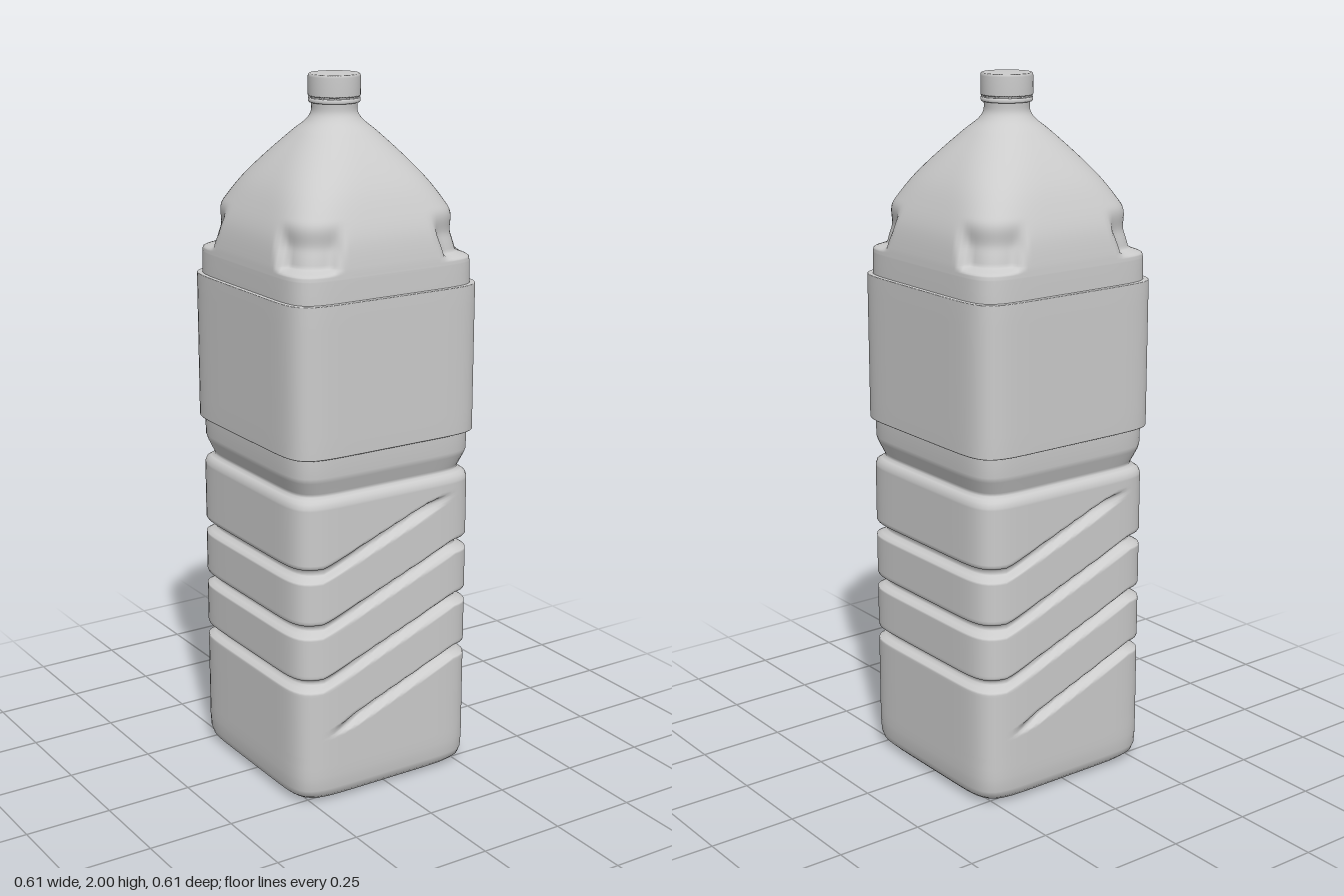
import * as THREE from 'three';

const SEGS = 144;
const grey = new THREE.MeshStandardMaterial({ color: 0xcccccc });
const cyan = new THREE.MeshStandardMaterial({ color: 0x00d0dc });
const { smoothstep, clamp } = THREE.MathUtils;

// Point on a rounded square: half width a, squareness n (2 = circle)
function squarePoint(theta, a, n) {
  const s = Math.sin(theta), c = Math.cos(theta);
  const r = a / Math.pow(Math.abs(s) ** n + Math.abs(c) ** n, 1 / n);
  return [r * s, r * c];
}

// Spiral grooves: sloped on front and back, level on the sides
function grooveDepth(x, z, y) {
  const u = z > 0 ? x : -x;
  const ramp = 0.163 * (clamp(u, -0.22, 0.22) + 0.22) / 0.44;
  let depth = 0;
  for (let k = 0; k < 4; k++) {
    let fade = 1;
    if (k === 0) fade = smoothstep(u, -0.21, -0.1);
    if (k === 3) fade = 1 - smoothstep(u, 0.1, 0.21);
    if (fade === 0) continue;
    const dy = Math.abs(y - (0.198 + 0.163 * k + ramp));
    const width = 0.5 + 0.5 * fade;
    depth = Math.max(depth, 0.024 * fade * (1 - smoothstep(dy, 0.008 * width, 0.021 * width)));
  }
  return depth;
}

// Recessed pockets at the four shoulder corners
function pocketDepth(x, z, y) {
  const edge = 0.185 - 0.35 * Math.max(0, y - 1.52);
  const corner = smoothstep(Math.min(Math.abs(x), Math.abs(z)), edge - 0.02, edge + 0.025);
  return 0.028 * corner * smoothstep(y, 1.512, 1.53) * (1 - smoothstep(y, 1.57, 1.65));
}

// Skin through rows of { a: half width, y, n }
function loft(rows, carved = true) {
  const pos = [], idx = [];
  rows.forEach(({ a, y, n }, i) => {
    for (let j = 0; j < SEGS; j++) {
      const t = (j / SEGS) * Math.PI * 2;
      let [x, z] = squarePoint(t, a, n);
      if (carved && y > 0.1) {
        const d = y < 0.9 ? grooveDepth(x, z, y) : pocketDepth(x, z, y);
        [x, z] = squarePoint(t, a - d, n);
      }
      pos.push(x, y, z);
      if (i === rows.length - 1) continue;
      const k = (j + 1) % SEGS, p = i * SEGS, q = p + SEGS;
      idx.push(p + j, p + k, q + k, p + j, q + k, q + j);
    }
  });
  const g = new THREE.BufferGeometry();
  g.setAttribute('position', new THREE.Float32BufferAttribute(pos, 3));
  g.setIndex(idx);
  g.computeVertexNormals();
  return g;
}

// Split a profile of [a, y, n] into rows, finely across the grooves
function subdivide(profile) {
  const rows = [];
  profile.forEach(([a, y, n], i) => {
    if (i > 0) {
      const [a0, y0, n0] = profile[i - 1];
      const step = y0 >= 0.14 && y <= 0.88 ? 0.0065 : 0.06;
      const count = Math.ceil(Math.hypot(a - a0, y - y0) / step);
      for (let k = 1; k < count; k++) {
        const t = k / count;
        rows.push({ a: a0 + (a - a0) * t, y: y0 + (y - y0) * t, n: n0 + (n - n0) * t });
      }
    }
    rows.push({ a, y, n });
  });
  return rows;
}

function addMesh(group, name, geometry, material = grey) {
  const mesh = new THREE.Mesh(geometry, material);
  mesh.name = name;
  group.add(mesh);
  return mesh;
}

export function createModel() {
  const group = new THREE.Group();
  group.name = 'bottle';

  // Body wall: base rim, grooved lower half, waist, label seat
  const lower = [
    [0.215, 0.004, 6], [0.235, 0, 6.5], [0.258, 0.001, 7], [0.275, 0.008, 7.5],
    [0.287, 0.02, 8], [0.293, 0.04, 8], [0.295, 0.08, 8], [0.295, 0.14, 8], [0.295, 0.88, 8],
    [0.291, 0.893, 8], [0.282, 0.9, 8], [0.272, 0.905, 8], [0.274, 0.915, 8],
    [0.288, 0.95, 8], [0.292, 0.965, 8], [0.293, 1.02, 8], [0.293, 1.44, 8], [0.292, 1.5, 8],
  ];
  // Domed shoulder blending into the round neck
  const shoulder = [
    [0.292, 1.5, 8], [0.289, 1.53, 7.6], [0.275, 1.6, 6], [0.25, 1.66, 4.8], [0.217, 1.72, 3.8],
    [0.168, 1.785, 2.9], [0.112, 1.845, 2.3], [0.076, 1.878, 2], [0.064, 1.898, 2], [0.063, 1.93, 2],
  ];
  const curve = new THREE.CatmullRomCurve3(shoulder.map(([a, y, n]) => new THREE.Vector3(a, y, n / 20)));
  const dome = [];
  for (let i = 1; i <= 80; i++) {
    const p = curve.getPoint(i / 80);
    dome.push({ a: p.x, y: p.y, n: p.z * 20 });
  }
  const wall = subdivide(lower);
  addMesh(group, 'bottleWall', loft([...wall, ...dome]));

  // Liquid with the domed underside, following the wall from inside
  const base = [];
  for (let i = 0; i <= 14; i++) {
    const t = i / 14;
    base.push({ a: 0.002 + 0.138 * t, y: 0.007 + 0.07 * Math.cos(t * Math.PI / 2), n: 2 });
  }
  base.push({ a: 0.18, y: 0.007, n: 4 }, { a: 0.245, y: 0.007, n: 7 });
  const inner = wall.filter((r) => r.y > 0.03 && r.y < 0.89).map((r) => ({ ...r, a: r.a - 0.012 }));
  const top = [{ a: 0.255, y: 0.91, n: 8 }, { a: 0.255, y: 0.93, n: 8 }, { a: 0.002, y: 0.93, n: 8 }];
  addMesh(group, 'liquid', loft([...base, ...inner, ...top]), cyan);

  // Label sleeve with thin closed edges
  const label = subdivide([
    [0.292, 1.02, 8], [0.304, 1.02, 8], [0.305, 1.022, 8],
    [0.305, 1.438, 8], [0.304, 1.44, 8], [0.292, 1.44, 8],
  ]);
  addMesh(group, 'labelSleeve', loft(label, false));

  // Tamper band and screw cap
  const turned = (points) => new THREE.LatheGeometry(points.map(([r, y]) => new THREE.Vector2(r, y)), 64);
  addMesh(group, 'tamperBand', turned([
    [0.06, 1.923], [0.069, 1.923], [0.071, 1.926], [0.071, 1.935], [0.06, 1.936],
  ]));
  addMesh(group, 'cap', turned([
    [0.06, 1.94], [0.071, 1.94], [0.072, 1.943], [0.072, 1.992], [0.0705, 1.998], [0.068, 2], [0, 2],
  ]));
  addMesh(group, 'capCore', new THREE.CylinderGeometry(0.066, 0.066, 0.02, 48).translate(0, 1.938, 0));

  // Small bridges joining the band to the cap
  for (let i = 0; i < 12; i++) {
    const bridge = addMesh(group, 'bandBridge', new THREE.BoxGeometry(0.008, 0.008, 0.006).translate(0, 1.9375, 0.067));
    bridge.rotation.y = (i / 12) * Math.PI * 2;
  }
  return group;
}
